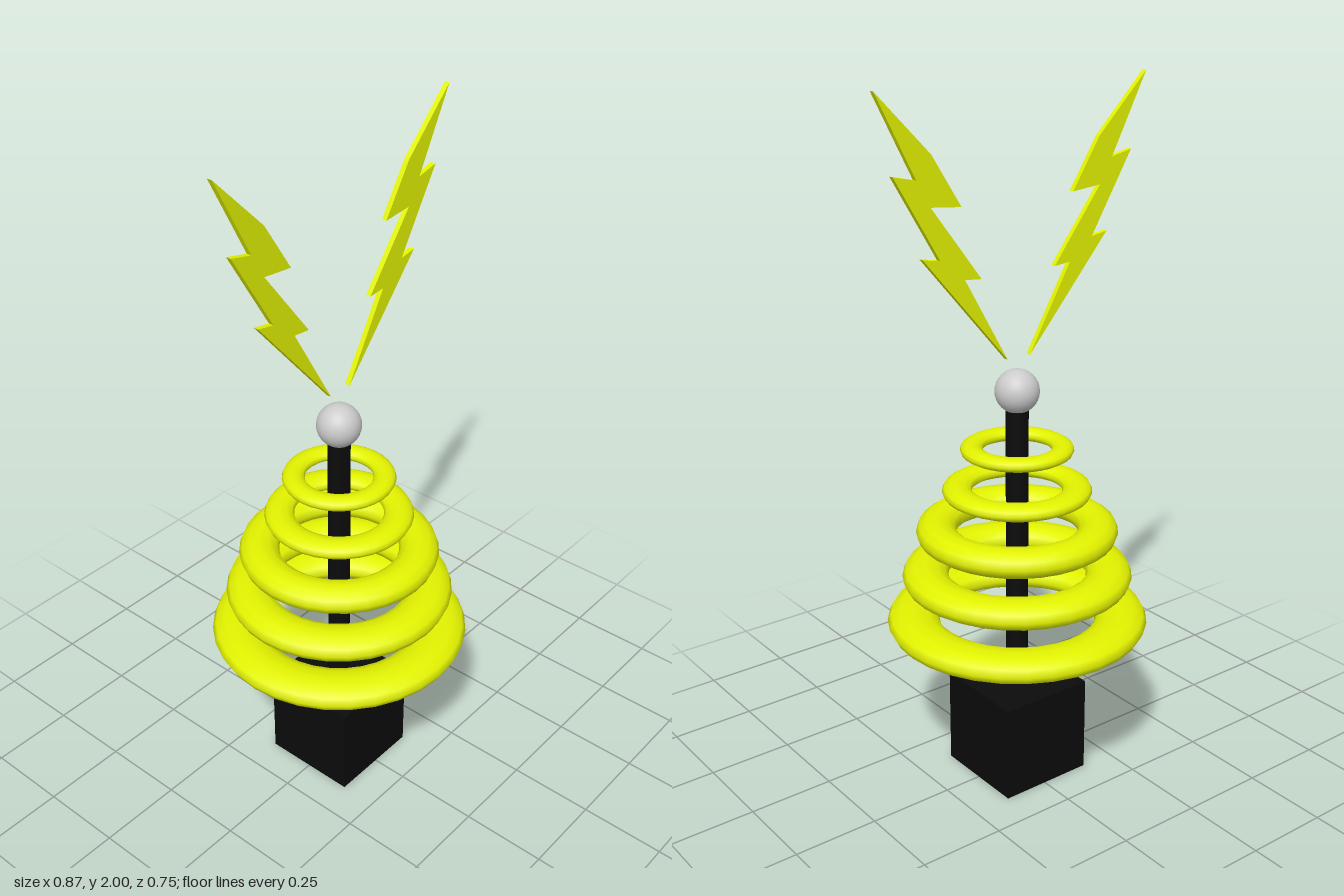
import * as THREE from 'three';

const YELLOW = new THREE.MeshStandardMaterial({ color: 0xe2f200 });
const BLACK = new THREE.MeshStandardMaterial({ color: 0x0b0b0b });
const GREY = new THREE.MeshStandardMaterial({ color: 0xcccccc });

export function createModel() {
  const model = new THREE.Group();
  model.name = 'teslaCoil';

  const add = (name, geometry, material, x, y, z, parent = model) => {
    const mesh = new THREE.Mesh(geometry, material);
    mesh.name = name;
    mesh.position.set(x, y, z);
    parent.add(mesh);
    return mesh;
  };

  // Coil tower stands slightly off the centre line of the bolts
  const tower = new THREE.Group();
  tower.name = 'tower';
  tower.position.x = -0.007;
  model.add(tower);

  add('base', new THREE.BoxGeometry(0.285, 0.286, 0.285), BLACK, 0, 0.143, 0, tower);
  add('pole', new THREE.CylinderGeometry(0.032, 0.032, 0.86, 32), BLACK, 0, 0.71, 0, tower);
  add('ball', new THREE.SphereGeometry(0.0625, 32, 16), GREY, 0, 1.172, 0, tower);

  // Flattened rings: [height, outer radius, half thickness]
  const rings = [
    [0.489, 0.374, 0.04],
    [0.627, 0.328, 0.04],
    [0.762, 0.286, 0.04],
    [0.883, 0.211, 0.023],
    [1.004, 0.159, 0.019],
  ];
  rings.forEach(([y, outer, half], i) => {
    const geometry = new THREE.TorusGeometry(outer * 0.8, outer * 0.2, 12, 32);
    geometry.rotateX(Math.PI / 2);
    const ring = add(`ring${i + 1}`, geometry, YELLOW, 0, y, 0, tower);
    ring.scale.y = half / (outer * 0.2);
  });

  // Lightning bolt outline, mirrored for the other side
  const outline = [
    [0.433, 2.0], [0.318, 1.78], [0.386, 1.795], [0.251, 1.571],
    [0.304, 1.58], [0.038, 1.273], [0.175, 1.511], [0.122, 1.506],
    [0.277, 1.709], [0.183, 1.7], [0.272, 1.839],
  ];
  const thickness = 0.015;
  for (const [name, side] of [['leftBolt', 1], ['rightBolt', -1]]) {
    const shape = new THREE.Shape(outline.map(([x, y]) => new THREE.Vector2(side * x, y)));
    const geometry = new THREE.ExtrudeGeometry(shape, { depth: thickness, bevelEnabled: false });
    add(name, geometry, YELLOW, 0, 0, -0.009 - thickness / 2);
  }

  return model;
}
